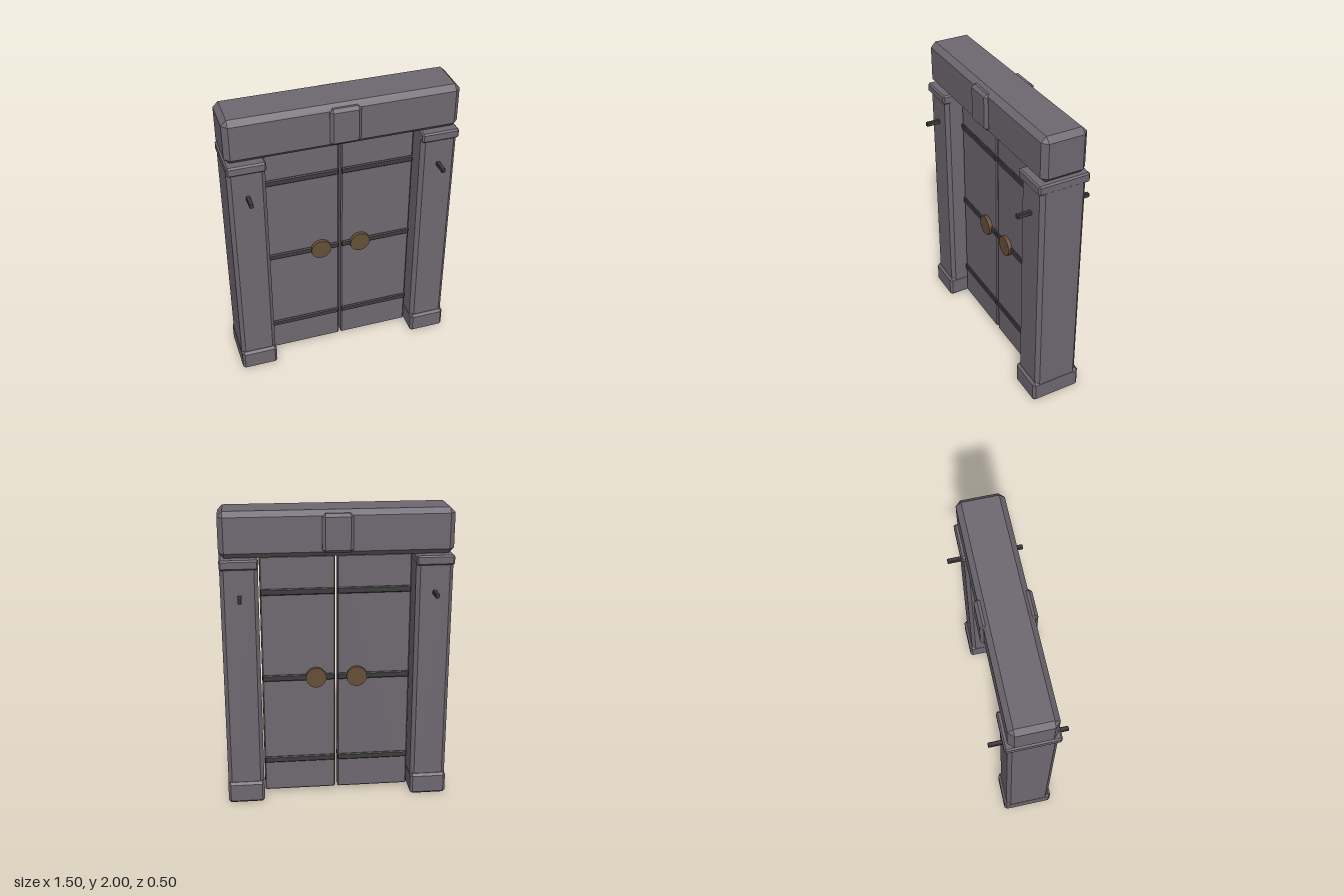
import * as THREE from 'three';
import { ConvexGeometry } from 'three/addons/geometries/ConvexGeometry.js';

const material = (name, color) => {
  const m = new THREE.MeshStandardMaterial({ color });
  m.name = name;
  return m;
};

// Box with every edge cut by a flat chamfer c
function chamferBox(w, h, d, c) {
  const [x, y, z] = [w / 2, h / 2, d / 2];
  const points = [];
  for (const sx of [-1, 1]) for (const sy of [-1, 1]) for (const sz of [-1, 1]) {
    points.push(
      new THREE.Vector3(sx * x, sy * (y - c), sz * (z - c)),
      new THREE.Vector3(sx * (x - c), sy * y, sz * (z - c)),
      new THREE.Vector3(sx * (x - c), sy * (y - c), sz * z)
    );
  }
  return new ConvexGeometry(points);
}

export function createModel() {
  const stone = material('grey stone', 0x6e6870);
  const iron = material('dark iron', 0x3d3c3d);
  const bronze = material('bronze', 0x644f38);
  const model = new THREE.Group();
  model.name = 'gate';

  const add = (parent, name, geometry, mat, x, y, z = 0) => {
    const mesh = new THREE.Mesh(geometry, mat);
    mesh.name = name;
    mesh.position.set(x, y, z);
    parent.add(mesh);
    return mesh;
  };

  // Lintel with a keystone showing on both faces
  add(model, 'lintel', chamferBox(1.5, 0.296, 0.3, 0.034), stone, 0, 1.852);
  add(model, 'keystone', chamferBox(0.2, 0.25, 0.344, 0.02), stone, 0, 1.855);

  for (const side of [-1, 1]) {
    const label = side > 0 ? 'left' : 'right';

    // Pillar with base, cap and a peg running through it
    const pillar = new THREE.Group();
    pillar.name = label + 'Pillar';
    pillar.position.x = side * 0.627;
    model.add(pillar);
    add(pillar, 'shaft', chamferBox(0.242, 1.69, 0.306, 0.025), stone, 0, 0.85);
    add(pillar, 'base', chamferBox(0.246, 0.15, 0.344, 0.016), stone, 0, 0.075);
    add(pillar, 'cap', chamferBox(0.246, 0.064, 0.344, 0.01), stone, 0, 1.668);
    add(pillar, 'peg', chamferBox(0.026, 0.028, 0.498, 0.003), iron, 0, 1.455);

    // Door leaf with iron bands and a round handle plate on each face
    const door = new THREE.Group();
    door.name = label + 'Door';
    door.position.x = side * 0.252;
    model.add(door);
    add(door, 'leaf', chamferBox(0.488, 1.67, 0.08, 0.008), stone, 0, 0.855);
    for (const y of [0.253, 0.855, 1.453]) {
      add(door, 'band', chamferBox(0.486, 0.043, 0.1, 0.006), iron, 0, y);
    }
    const disc = new THREE.CylinderGeometry(0.069, 0.069, 0.13, 20);
    add(door, 'handle', disc, bronze, side * -0.115, 0.855).rotation.x = Math.PI / 2;
  }

  return model;
}
